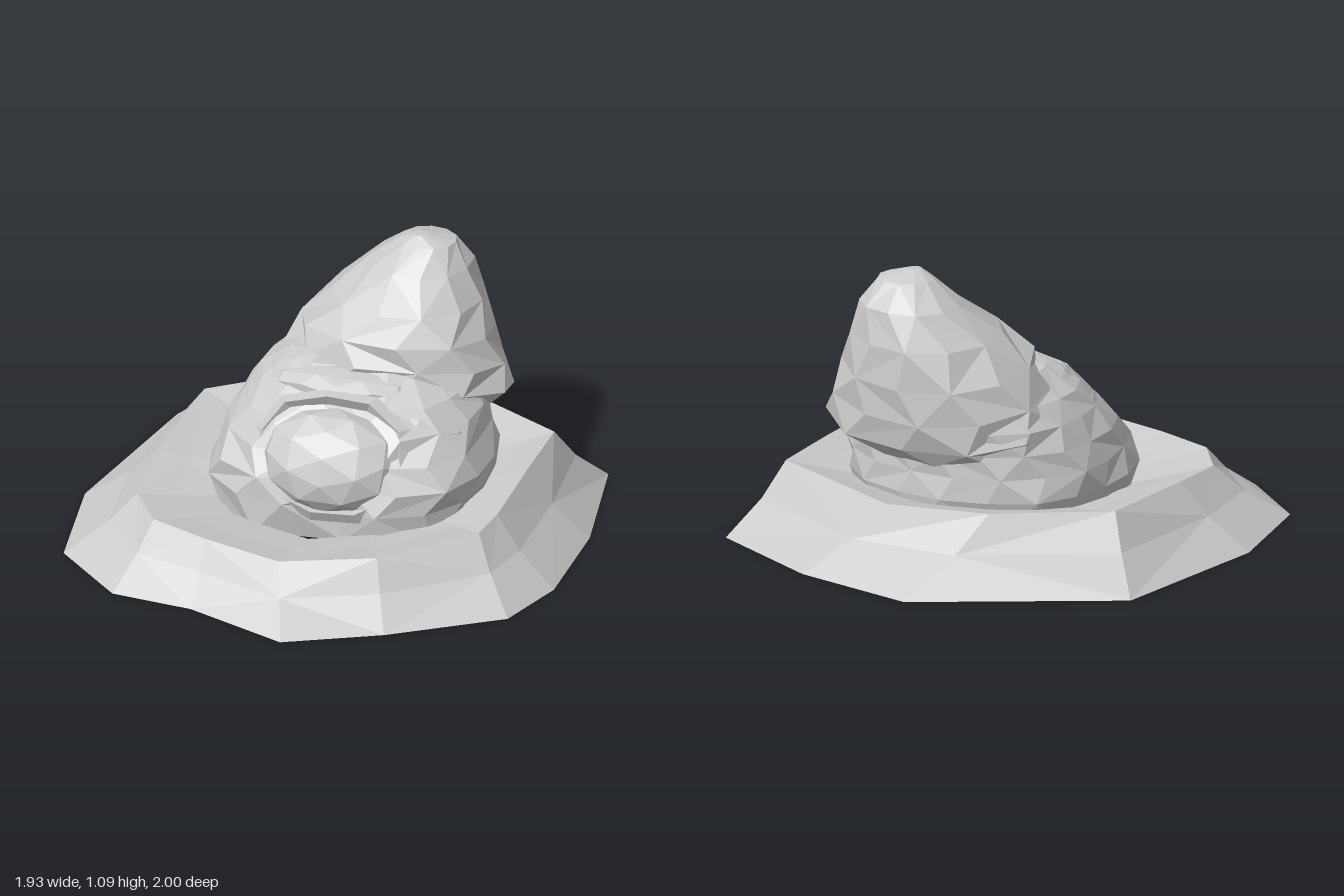
import * as THREE from 'three';

const material = new THREE.MeshStandardMaterial({ color: 0xcccccc, flatShading: true, side: THREE.DoubleSide });

// Repeatable noise in -1..1
function noise(seed) {
  let s = seed;
  return () => {
    s = (s * 16807) % 2147483647;
    return (s / 2147483647) * 2 - 1;
  };
}

// Skin over a stack of rings with equal point counts, optionally capped at both ends
function loft(rings, capped = false) {
  const out = [];
  const tri = (...pts) => pts.forEach((p) => out.push(p.x, p.y, p.z));
  const n = rings[0].length;
  const last = rings[rings.length - 1];
  const middle = (ring) => ring.reduce((m, p) => m.add(p), new THREE.Vector3()).divideScalar(n);
  for (let r = 0; r + 1 < rings.length; r++) {
    for (let i = 0; i < n; i++) {
      const j = (i + 1) % n;
      const [a, b, c, d] = [rings[r][i], rings[r][j], rings[r + 1][i], rings[r + 1][j]];
      if ((i + r) % 2) { tri(a, c, b); tri(b, c, d); }
      else { tri(a, c, d); tri(a, d, b); }
    }
  }
  for (let i = 0; capped && i < n; i++) {
    const j = (i + 1) % n;
    tri(middle(rings[0]), rings[0][i], rings[0][j]);
    tri(middle(last), last[j], last[i]);
  }
  const geometry = new THREE.BufferGeometry();
  geometry.setAttribute('position', new THREE.Float32BufferAttribute(out, 3));
  geometry.computeVertexNormals();
  return geometry;
}

// Rough oval rings from [y, xMin, xMax, zMin, zMax, tilt]; shape(angle) scales the radius
function ovalRings(sections, sides, rough, seed, shape = () => 1) {
  const rnd = noise(seed);
  return sections.map(([y, x0, x1, z0, z1, tilt = 0], k) =>
    Array.from({ length: sides }, (_, i) => {
      const a = ((i + (k % 2) * 0.35) / sides) * Math.PI * 2;
      const r = shape(a) * (1 + rnd() * rough);
      const dz = ((z1 - z0) / 2) * Math.sin(a) * r;
      const x = (x0 + x1) / 2 + ((x1 - x0) / 2) * Math.cos(a) * r;
      return new THREE.Vector3(x, y + tilt * dz, (z0 + z1) / 2 + dz);
    }));
}

export function createModel() {
  const model = new THREE.Group();
  const add = (name, geometry) => {
    const mesh = new THREE.Mesh(geometry, material);
    mesh.name = name;
    model.add(mesh);
    return mesh;
  };

  // Mound: foot x, foot z, crest x, crest z, crest height
  const outline = [
    [-0.06, -1, -0.24, -0.64, 0.27], [0.43, -0.88, 0.16, -0.71, 0.27],
    [0.88, -0.63, 0.73, -0.42, 0.27], [0.96, -0.13, 0.72, -0.1, 0.27],
    [0.95, 0.3, 0.71, 0.25, 0.26], [0.85, 0.57, 0.68, 0.39, 0.25],
    [0.44, 0.83, 0.36, 0.66, 0.23], [0.08, 1, 0, 0.76, 0.21],
    [-0.32, 0.85, -0.32, 0.67, 0.21], [-0.64, 0.82, -0.55, 0.58, 0.21],
    [-0.91, 0.57, -0.67, 0.4, 0.21], [-0.97, 0.1, -0.68, 0.1, 0.24],
    [-0.82, -0.6, -0.64, -0.37, 0.26],
  ];
  const slope = (t, h) => outline.map(([x, z, cx, cz, y]) =>
    new THREE.Vector3(x + (cx - x) * t, y * h, z + (cz - z) * t));
  const bowl = (s, drop) => outline.map(([, , cx, cz, y]) =>
    new THREE.Vector3(0.06 + (cx - 0.06) * s, y - drop, -0.05 + (cz + 0.05) * s));
  add('mound', loft([slope(0, 0), slope(0.6, 0.5), slope(1, 1), bowl(0.83, 0.03), bowl(0.62, 0.06)]));

  // Hooded head sunk in the mound: full cheeks and a hollow at the front for the face
  const hollow = (a) => {
    const front = Math.max(0, Math.sin(a));
    return 1 + (front > 0 ? 0.09 : 0.03) * Math.sin(2 * a) ** 2 - 0.17 * front ** 24;
  };
  add('hoodedHead', loft(ovalRings([
    [0.11, -0.44, 0.55, -0.49, 0.42],
    [0.25, -0.48, 0.59, -0.52, 0.43],
    [0.34, -0.46, 0.6, -0.52, 0.42],
    [0.43, -0.42, 0.57, -0.52, 0.37],
    [0.52, -0.38, 0.54, -0.52, 0.29],
    [0.6, -0.32, 0.48, -0.48, 0.2],
    [0.68, -0.2, 0.34, -0.36, 0.06],
  ], 18, 0.025, 17, hollow), true));

  // Cap leaning up and back, with a tucked lower edge
  add('cap', loft(ovalRings([
    [0.44, -0.3, 0.53, -0.51, 0.02, 0.25],
    [0.52, -0.33, 0.62, -0.57, 0.06, 0.27],
    [0.62, -0.28, 0.58, -0.59, 0.06, 0.22],
    [0.73, -0.23, 0.53, -0.6, 0.03, 0.15],
    [0.85, -0.11, 0.48, -0.59, -0.05, 0.05],
    [0.97, 0.03, 0.42, -0.55, -0.18],
    [1.06, 0.14, 0.36, -0.46, -0.27],
    [1.09, 0.2, 0.25, -0.36, -0.31],
  ], 11, 0.03, 91), true));

  // Faceted oval face in a low raised opening
  const tilt = -0.5;
  const face = add('face', new THREE.IcosahedronGeometry(1, 1));
  face.scale.set(0.27, 0.2, 0.13);
  face.position.set(0.06, 0.41, 0.29);
  face.rotation.x = tilt;

  const rimGeometry = new THREE.TorusGeometry(0.3, 0.04, 4, 11);
  const rnd = noise(5);
  const pos = rimGeometry.attributes.position;
  const wobble = Array.from({ length: 11 }, () => 1 + rnd() * 0.06);
  for (let i = 0; i < pos.count; i++) {
    const w = wobble[(i % 12) % 11];
    pos.setXY(i, pos.getX(i) * w, pos.getY(i) * w * 0.76);
  }
  const rim = add('faceOpeningRim', rimGeometry);
  rim.position.set(0.06, 0.42, 0.27);
  rim.rotation.x = tilt;

  // Shallow cloth folds between the opening and the cap: position, size, roll
  const folds = [
    [[-0.26, 0.52, -0.04], [0.15, 0.07, 0.2], 0.6],
    [[-0.17, 0.62, -0.06], [0.14, 0.06, 0.16], 0.4],
    [[0.04, 0.62, 0.05], [0.28, 0.06, 0.12], 0],
    [[0.36, 0.53, 0.05], [0.19, 0.07, 0.14], -0.4],
  ];
  folds.forEach(([position, size, roll]) => {
    const fold = add('clothFold', new THREE.IcosahedronGeometry(1, 1));
    fold.position.set(...position);
    fold.scale.set(...size);
    fold.rotation.z = roll;
  });

  return model;
}
